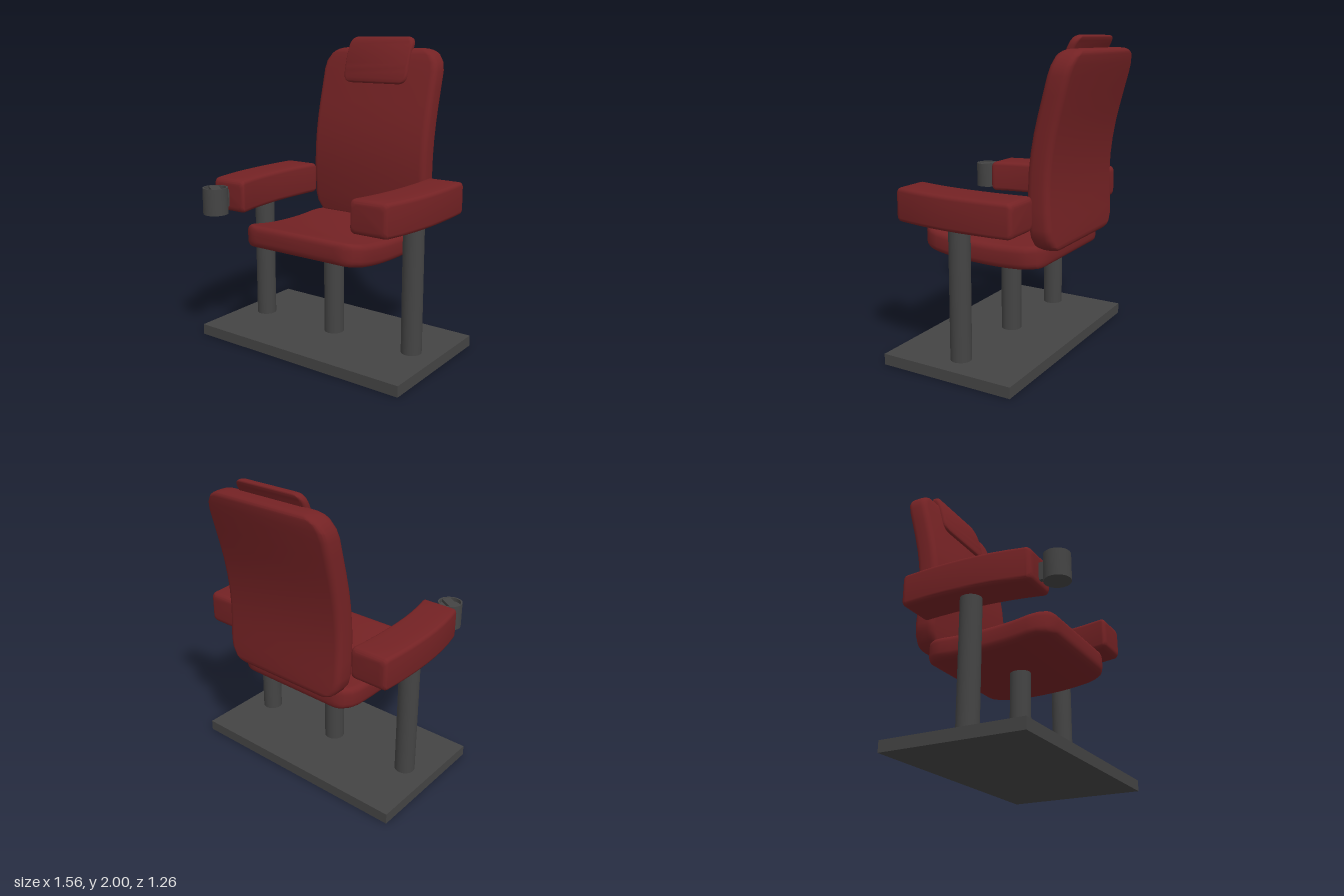
import * as THREE from 'three';
import { toCreasedNormals } from 'three/addons/utils/BufferGeometryUtils.js';

const red = new THREE.MeshStandardMaterial({ color: 0x742224 });
red.name = 'dark red upholstery';
const grey = new THREE.MeshStandardMaterial({ color: 0x444444 });
grey.name = 'dark grey metal';

const V = (x, y, z) => new THREE.Vector3(x, y, z);

function add(parent, name, geometry, material, x = 0, y = 0, z = 0) {
  const mesh = new THREE.Mesh(geometry, material);
  mesh.name = name;
  mesh.position.set(x, y, z);
  parent.add(mesh);
  return mesh;
}

// Padded slab: rounded-rectangle sections swept along a bent spine.
// hw: half width along side, ht: half thickness along normal,
// R: corner radius of the outline, e: radius of the padded edge.
function cushion(spine, side, normal, hw, ht, R, e) {
  const curve = new THREE.CatmullRomCurve3(spine);
  const L = curve.getLength();
  const ends = new Set([0]);
  for (let k = 1; k <= 4; k++) {
    const c = 1 - Math.cos((k / 4) * Math.PI / 2);
    ends.add(+(R * c).toFixed(4)).add(+(e * c).toFixed(4));
  }
  const near = [...ends].sort((a, b) => a - b);
  const start = Math.max(R, e);
  const stations = [...near];
  for (let k = 1; k < 8; k++) stations.push(start + (L - 2 * start) * k / 8);
  stations.push(...near.map((d) => L - d).reverse());

  const inset = (d, r) => (d >= r ? 0 : r - Math.sqrt(Math.max(0, r * r - (r - d) ** 2)));
  const pos = [], index = [];
  const arc = 4, n = 4 * (arc + 1);
  for (const s of stations) {
    const d = Math.min(s, L - s);
    const w = hw - inset(d, R), t = ht - inset(d, e);
    const c = curve.getPointAt(Math.min(1, Math.max(0, s / L)));
    for (let q = 0; q < 4; q++) {
      const sx = q === 0 || q === 3 ? 1 : -1, sy = q < 2 ? 1 : -1;
      for (let k = 0; k <= arc; k++) {
        const a = (q + k / arc) * Math.PI / 2;
        const p = c.clone()
          .addScaledVector(side, sx * (w - e) + e * Math.cos(a))
          .addScaledVector(normal, sy * (t - e) + e * Math.sin(a));
        pos.push(p.x, p.y, p.z);
      }
    }
  }
  const rows = stations.length;
  for (let i = 0; i < rows - 1; i++) {
    for (let j = 0; j < n; j++) {
      const a = i * n + j, b = i * n + (j + 1) % n;
      index.push(a, b, b + n, a, b + n, a + n);
    }
  }
  // flat ends
  const last = (rows - 1) * n;
  for (let j = 1; j < n - 1; j++) {
    index.push(0, j + 1, j, last, last + j, last + j + 1);
  }
  const g = new THREE.BufferGeometry();
  g.setAttribute('position', new THREE.Float32BufferAttribute(pos, 3));
  g.setIndex(index);
  return toCreasedNormals(g, 0.6);
}

export function createModel() {
  const model = new THREE.Group();
  model.name = 'armchair';
  const X = V(1, 0, 0), Y = V(0, 1, 0);

  // floor plate and three posts
  add(model, 'basePlate', new THREE.BoxGeometry(1.56, 0.07, 0.9), grey, 0, 0.035, 0.02);
  const post = (name, x, top) =>
    add(model, name, new THREE.CylinderGeometry(0.066, 0.066, top - 0.06, 32), grey, x, (top + 0.06) / 2, 0.02);
  post('seatPost', 0, 0.68);
  post('leftArmPost', 0.6, 0.95);
  post('rightArmPost', -0.6, 0.95);

  // seat, raised toward the front
  add(model, 'seat', cushion(
    [V(0, 0.72, -0.43), V(0, 0.703, -0.2), V(0, 0.703, 0), V(0, 0.717, 0.2), V(0, 0.757, 0.438)],
    X, Y, 0.452, 0.072, 0.14, 0.04), red);

  // backrest, leaning back in its upper half
  add(model, 'backrest', cushion(
    [V(0, 0.75, -0.437), V(0, 1, -0.417), V(0, 1.2, -0.415), V(0, 1.42, -0.442), V(0, 1.7, -0.51), V(0, 1.925, -0.57)],
    X, V(0, 0, -1), 0.452, 0.072, 0.15, 0.04), red);

  // thin head cushion on the front of the backrest
  add(model, 'headrest', cushion(
    [V(0, 1.69, -0.445), V(0, 1.8, -0.468), V(0, 1.9, -0.5), V(0, 2, -0.548)],
    X, V(0, 0, -1), 0.252, 0.028, 0.06, 0.02), red);

  // armrests, curving inward at the front
  for (const [name, m] of [['leftArmrest', 1], ['rightArmrest', -1]]) {
    add(model, name, cushion(
      [V(0.587 * m, 0.998, -0.4), V(0.6 * m, 0.998, -0.2), V(0.598 * m, 0.998, 0.05),
        V(0.577 * m, 0.998, 0.25), V(0.537 * m, 0.998, 0.438)],
      Y, V(-1, 0, 0), 0.105, 0.127, 0.035, 0.025), red);
  }

  // cup on a short bracket in front of the right armrest
  const cup = new THREE.Group();
  cup.name = 'cupHolder';
  cup.position.set(-0.545, 0.9, 0.547);
  model.add(cup);
  const profile = [[0, 0], [0.08, 0], [0.08, 0.17], [0.07, 0.17], [0.07, 0.145], [0, 0.145]]
    .map(([r, y]) => new THREE.Vector2(r, y));
  add(cup, 'cup', toCreasedNormals(new THREE.LatheGeometry(profile, 32), 0.6), grey);
  add(cup, 'cupDivider', new THREE.BoxGeometry(0.13, 0.025, 0.06), grey, 0, 0.155, 0).rotation.y = -0.6;
  add(cup, 'cupBracket', new THREE.BoxGeometry(0.03, 0.11, 0.06), grey, 0, 0.085, -0.095);

  return model;
}
